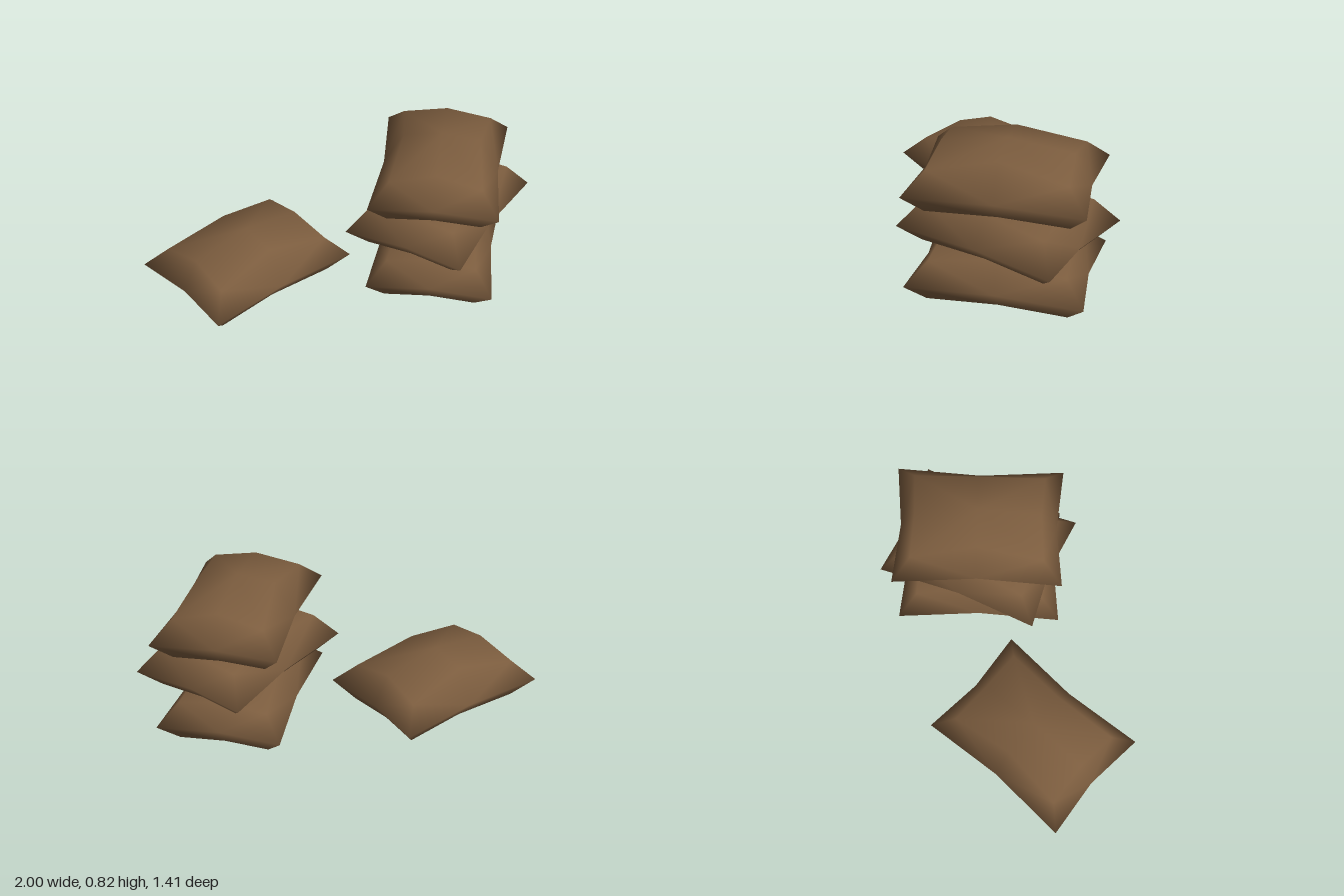
import * as THREE from 'three';

// One pillow-shaped sack, open underneath: three pinched rings of eight points and a crown.
// y = 0 is the seam; a ring is [corner x, corner z, side mid x, end mid z, corner y, side mid y, end mid y].
function sackGeometry({ base, corner, side, end, crown }) {
  const rings = [
    [0.24, 0.355, 0.21, 0.33, -base + 0.003, -base, -base],
    [0.33, 0.445, 0.30, 0.413, 0, 0, 0],
    [0.235, 0.345, 0.20, 0.33, corner, side, end],
  ];
  const around = [[1, 0], [1, 1], [0, 1], [-1, 1], [-1, 0], [-1, -1], [0, -1], [1, -1]];
  const positions = [];
  const index = [];
  for (const [cx, cz, mx, mz, cy, sy, ey] of rings) {
    for (const [sx, sz] of around) {
      if (sx && sz) positions.push(sx * cx, cy, sz * cz);
      else if (sx) positions.push(sx * mx, sy, 0);
      else positions.push(0, ey, sz * mz);
    }
  }
  positions.push(0, crown, 0);
  for (let i = 0; i < 8; i++) {
    const j = (i + 1) % 8;
    for (let r = 0; r < 2; r++) {
      const a = r * 8 + i, b = r * 8 + j, c = a + 8, d = b + 8;
      // diagonals mirror about both axes
      if (i % 2) index.push(a, c, b, b, c, d);
      else index.push(a, d, b, a, c, d);
    }
    index.push(16 + i, 24, 16 + j);
  }
  const geometry = new THREE.BufferGeometry();
  geometry.setAttribute('position', new THREE.Float32BufferAttribute(positions, 3));
  geometry.setIndex(index);
  geometry.computeVertexNormals();
  return geometry;
}

export function createModel() {
  const group = new THREE.Group();
  group.name = 'sackPile';
  const burlap = new THREE.MeshStandardMaterial({ color: 0x7b5c3e, side: THREE.DoubleSide });
  burlap.name = 'brown burlap';

  const full = { base: 0.112, corner: 0.11, side: 0.18, end: 0.16, crown: 0.207 };
  const pressed = { base: 0.112, corner: 0.107, side: 0.14, end: 0.132, crown: 0.145 };
  const middle = { base: 0.095, corner: 0.135, side: 0.145, end: 0.143, crown: 0.148 };

  // name, shape, position of the seam centre, turn about y
  const sacks = [
    ['looseSack', full, [-0.46, 0.114, 0.147], -0.695],
    ['bottomSack', pressed, [0.53, 0.112, -0.17], 0],
    ['middleSack', middle, [0.535, 0.348, -0.175], -0.355],
    ['topSack', full, [0.53, 0.612, -0.17], 0],
  ];
  for (const [name, shape, position, turn] of sacks) {
    const sack = new THREE.Mesh(sackGeometry(shape), burlap);
    sack.name = name;
    sack.position.set(...position);
    sack.rotation.y = turn;
    group.add(sack);
  }
  return group;
}
